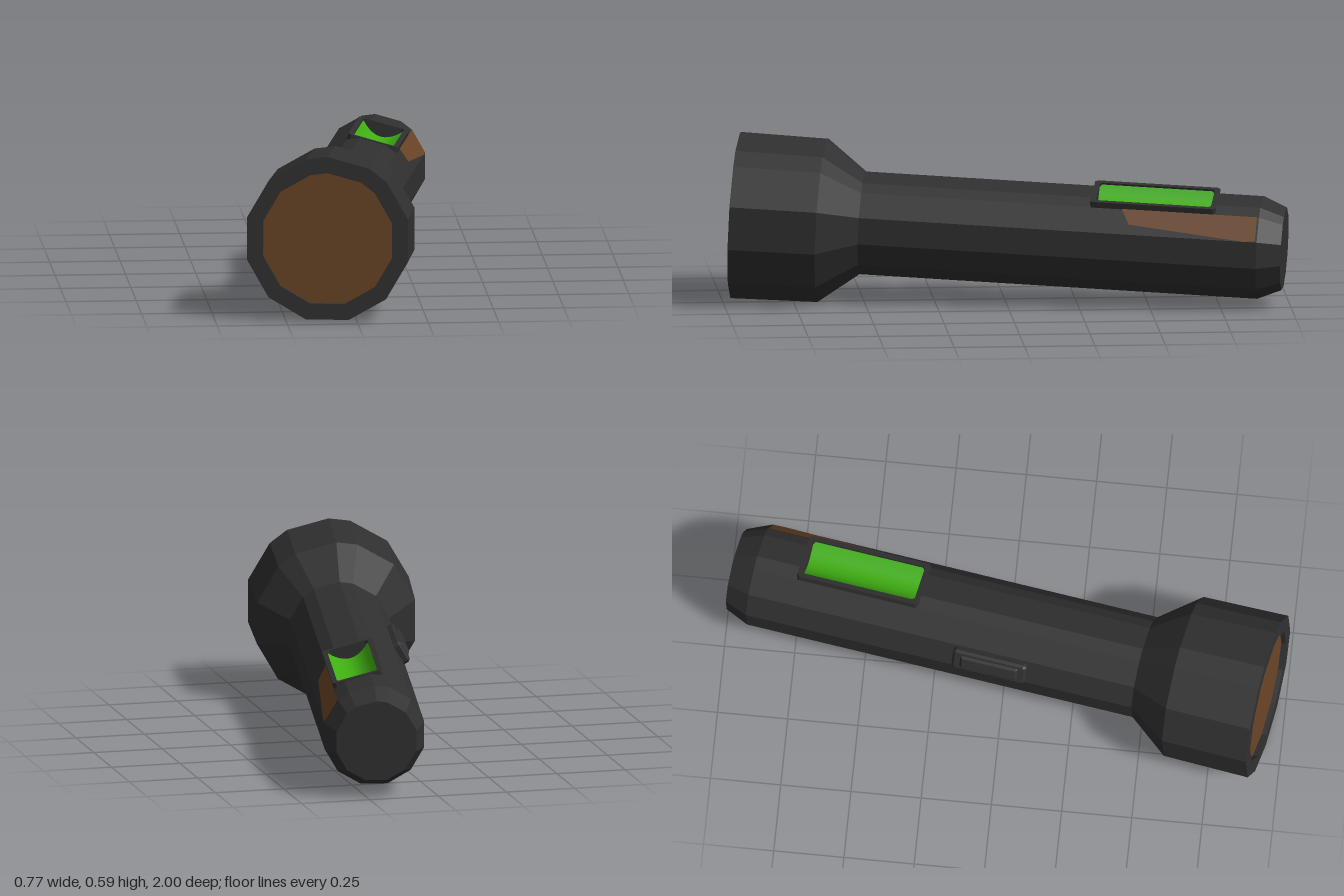
import * as THREE from 'three';

const mat = (name, color) => {
  const m = new THREE.MeshStandardMaterial({ color });
  m.name = name;
  return m;
};

// Twelve-sided section, with extra corners at 60 and 90 degrees rounding the top
const ANGLES = [15, 45, 60, 90, 105, 135, 165, 195, 225, 255, 285, 315, 345, 375];
const point = (deg, r, z) => {
  const a = THREE.MathUtils.degToRad(deg);
  return new THREE.Vector3(r * Math.cos(a), r * Math.sin(a), z);
};

// Flat-shaded geometry from convex polygons
function facets(polygons) {
  const pos = [];
  for (const p of polygons)
    for (let i = 1; i < p.length - 1; i++)
      for (const v of [p[0], p[i], p[i + 1]]) pos.push(v.x, v.y, v.z);
  const g = new THREE.BufferGeometry();
  g.setAttribute('position', new THREE.Float32BufferAttribute(pos, 3));
  g.computeVertexNormals();
  return g;
}

// Faceted tube through [z, radius] rings, front to back; skip() leaves openings
function loft(profile, skip = () => false) {
  const polys = [];
  for (let i = 0; i < profile.length - 1; i++) {
    const [z0, r0] = profile[i], [z1, r1] = profile[i + 1];
    for (let k = 0; k < ANGLES.length - 1; k++) {
      const a = ANGLES[k], b = ANGLES[k + 1];
      if (skip(a)) continue;
      const quad = [point(a, r0, z0), point(a, r1, z1), point(b, r1, z1), point(b, r0, z0)];
      if (r0 === 0) quad.pop();
      if (r1 === 0) quad.splice(2, 1);
      polys.push(quad);
    }
  }
  return facets(polys);
}

// Rectangle with clipped corners
function clipped(shape, w, l, c) {
  const pts = [[w - c, -l], [w, c - l], [w, l - c], [w - c, l], [c - w, l], [-w, l - c], [-w, c - l], [c - w, -l]];
  return shape.setFromPoints(pts.map(([x, y]) => new THREE.Vector2(x, y)));
}

export function createModel() {
  const dark = mat('charcoal', 0x303030);
  const brown = mat('brown', 0x6a4526);
  const green = mat('green', 0x40b012);

  const torch = new THREE.Group();
  torch.name = 'flashlight';
  const add = (name, geo, material, parent = torch) => {
    const m = new THREE.Mesh(geo, material);
    m.name = name;
    parent.add(m);
    return m;
  };

  // Head with rim and recess, tapering to the handle
  add('head', loft([[0.94, 0.238], [0.96, 0.238], [0.96, 0.296], [0.65, 0.291], [0.508, 0.183]]), dark);
  add('lens', loft([[0.943, 0], [0.943, 0.239]]), brown);

  // Handle, open on top behind the window
  add('handleFront', loft([[0.508, 0.183], [-0.31, 0.183]]), dark);
  add('handleWindowSection', loft([[-0.31, 0.183], [-0.75, 0.183]], a => a >= 45 && a < 105), dark);
  add('tail', loft([[-0.75, 0.183], [-0.909, 0.183], [-0.993, 0.147], [-0.993, 0]]), dark);

  // Group lying against the handle at an angle, its y pointing outward
  const mount = (name, deg, z) => {
    const g = new THREE.Group();
    g.name = name;
    g.rotation.z = THREE.MathUtils.degToRad(deg - 90);
    g.position.z = z;
    torch.add(g);
    return g;
  };

  // Window: frame and a curved green trough
  const win = mount('window', 75, -0.53);
  const outline = clipped(new THREE.Shape(), 0.092, 0.223, 0.01);
  outline.holes.push(clipped(new THREE.Path(), 0.074, 0.205, 0.008));
  const frameGeo = new THREE.ExtrudeGeometry(outline, { depth: 0.08, bevelEnabled: false });
  frameGeo.rotateX(-Math.PI / 2).translate(0, 0.1, 0);
  add('windowFrame', frameGeo, dark, win);
  const trough = new THREE.PlaneGeometry(0.15, 0.412, 10, 1).rotateX(-Math.PI / 2);
  const p = trough.attributes.position;
  for (let i = 0; i < p.count; i++) p.setY(i, 0.132 + 0.042 * (p.getX(i) / 0.075) ** 2);
  trough.computeVertexNormals();
  add('windowPanel', trough, green, win);

  // Switch: clipped base and a raised slider
  const sw = mount('switch', 150, -0.015);
  const plate = (w, l, c, y, h) => new THREE.ExtrudeGeometry(clipped(new THREE.Shape(), w, l, c),
    { depth: h, bevelThickness: 0.008, bevelSize: 0.008, bevelOffset: -0.008, bevelSegments: 1 })
    .rotateX(-Math.PI / 2).translate(0, y, 0);
  add('switchBase', plate(0.042, 0.135, 0.01, 0.165, 0.03), dark, sw);
  add('switchSlider', plate(0.026, 0.105, 0.004, 0.19, 0.014), dark, sw);

  // Brown patch on the flat side facet beside the window
  const patch = [[0.4, -0.45], [0, -0.86], [0.04, -0.903], [1, -0.903], [1, -0.42]].map(([t, z]) =>
    point(15, 0.185, z).lerp(point(45, 0.185, z), t));
  add('sidePatch', facets([patch]), brown);

  // Lay the torch at its resting angle
  torch.rotation.set(-0.046, -0.167, 0, 'YXZ');
  torch.position.set(0.055, 0.249, 0);
  const model = new THREE.Group();
  model.name = 'model';
  model.add(torch);
  return model;
}
